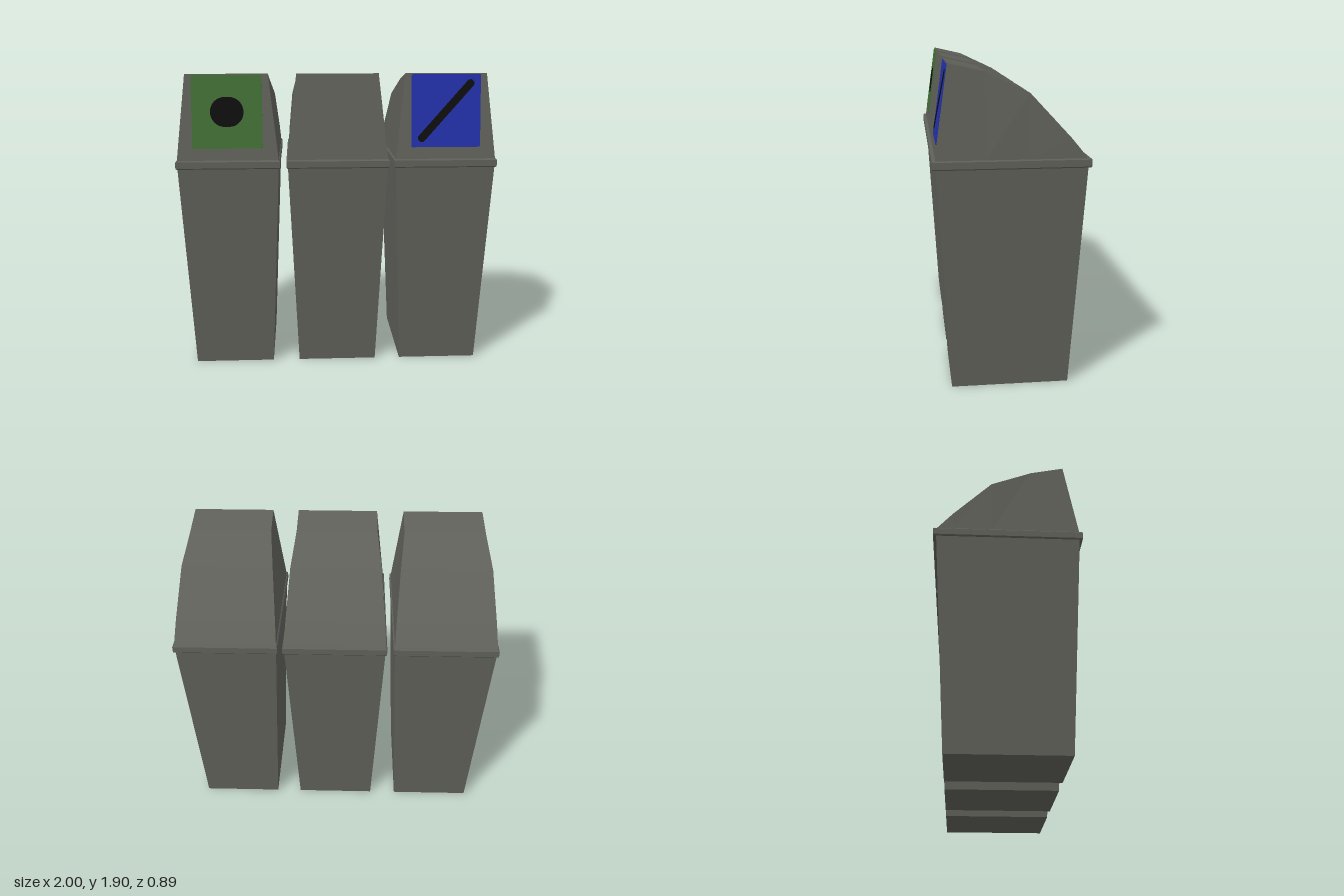
import * as THREE from 'three';

const bodyMat = new THREE.MeshStandardMaterial({ color: 0x60605a });
bodyMat.name = 'grey plastic';
const greenMat = new THREE.MeshStandardMaterial({ color: 0x436e35 });
greenMat.name = 'green panel';
const blueMat = new THREE.MeshStandardMaterial({ color: 0x2230a8 });
blueMat.name = 'blue panel';
const blackMat = new THREE.MeshStandardMaterial({ color: 0x0e0e0e });
blackMat.name = 'black opening';

function mesh(name, geometry, material) {
  const m = new THREE.Mesh(geometry, material);
  m.name = name;
  return m;
}

// Flat-faced geometry from a list of four-cornered faces
function fromQuads(quads) {
  const pos = [];
  for (const [a, b, c, d] of quads) pos.push(...a, ...b, ...c, ...a, ...c, ...d);
  const g = new THREE.BufferGeometry();
  g.setAttribute('position', new THREE.Float32BufferAttribute(pos, 3));
  g.computeVertexNormals();
  return g;
}

// Stack of rectangles, each [y, half width, half depth], capped at both ends
function stack(levels) {
  const rings = levels.map(([y, w, d]) => [[-w, y, d], [w, y, d], [w, y, -d], [-w, y, -d]]);
  const quads = [[...rings[0]].reverse(), rings[rings.length - 1]];
  for (let i = 0; i < rings.length - 1; i++) {
    for (let k = 0; k < 4; k++) {
      const n = (k + 1) % 4;
      quads.push([rings[i][k], rings[i][n], rings[i + 1][n], rings[i + 1][k]]);
    }
  }
  return fromQuads(quads);
}

// Sloping lid: stations from front to back, [base z, top z, top y, top half width]
const BASE_Y = 1.375, BASE_W = 0.313;
function lidGeometry() {
  const stations = [
    [0.425, 0.35, 1.9, 0.254],
    [0.15, 0.15, 1.855, 0.256],
    [-0.1, -0.1, 1.737, 0.282],
    [-0.33, -0.33, 1.49, 0.305],
    [-0.425, -0.425, BASE_Y, BASE_W],
  ];
  const base = (s, side) => [side * BASE_W, BASE_Y, s[0]];
  const top = (s, side) => [side * s[3], s[2], s[1]];
  const f = stations[0];
  const quads = [[base(f, -1), base(f, 1), top(f, 1), top(f, -1)]];
  for (let i = 0; i < stations.length - 1; i++) {
    const a = stations[i], b = stations[i + 1];
    quads.push([base(a, 1), base(b, 1), top(b, 1), top(a, 1)]);
    quads.push([top(a, -1), top(b, -1), base(b, -1), base(a, -1)]);
    quads.push([top(a, -1), top(a, 1), top(b, 1), top(b, -1)]);
  }
  return fromQuads(quads);
}

// Rounded rectangle plate centred on the origin
function plate(w, h, r, depth) {
  const x = w / 2, y = h / 2;
  const s = new THREE.Shape();
  s.absarc(x - r, y - r, r, 0, Math.PI / 2);
  s.absarc(-x + r, y - r, r, Math.PI / 2, Math.PI);
  s.absarc(-x + r, -y + r, r, Math.PI, Math.PI * 1.5);
  s.absarc(x - r, -y + r, r, Math.PI * 1.5, Math.PI * 2);
  return new THREE.ExtrudeGeometry(s, { depth, bevelEnabled: false, curveSegments: 8 });
}

// Coloured panel with its opening, laid on the sloping front of the lid
function signPanel(name, material, opening) {
  const g = new THREE.Group();
  g.name = name;
  g.add(mesh('panel', plate(0.432, 0.449, 0.01, 0.004), material));
  opening.position.z = 0.004;
  g.add(opening);
  g.position.set(0, 1.671, 0.383);
  g.rotation.x = -Math.atan2(0.075, 0.525);
  return g;
}

function bin(name, x) {
  const g = new THREE.Group();
  g.name = name;
  g.position.x = x;
  g.add(mesh('body', stack([[0, 0.254, 0.348], [1.33, 0.312, 0.426]]), bodyMat));
  g.add(mesh('rim', stack([
    [1.324, 0.315, 0.439], [1.331, 0.321, 0.445], [1.37, 0.321, 0.445], [1.377, 0.315, 0.439],
  ]), bodyMat));
  g.add(mesh('lid', lidGeometry(), bodyMat));
  return g;
}

export function createModel() {
  const model = new THREE.Group();
  model.name = 'recyclingBins';
  const [rightBin, middleBin, leftBin] = [
    bin('rightBin', -0.677), bin('middleBin', 0.004), bin('leftBin', 0.677),
  ];

  // Round opening
  const hole = mesh('roundOpening', plate(0.204, 0.182, 0.09, 0.003), blackMat);
  rightBin.add(signPanel('greenSign', greenMat, hole));

  // Diagonal slot
  const slot = mesh('diagonalSlot', plate(0.5, 0.048, 0.023, 0.003), blackMat);
  slot.rotation.z = Math.atan2(0.34, 0.305);
  leftBin.add(signPanel('blueSign', blueMat, slot));

  model.add(rightBin, middleBin, leftBin);
  return model;
}
